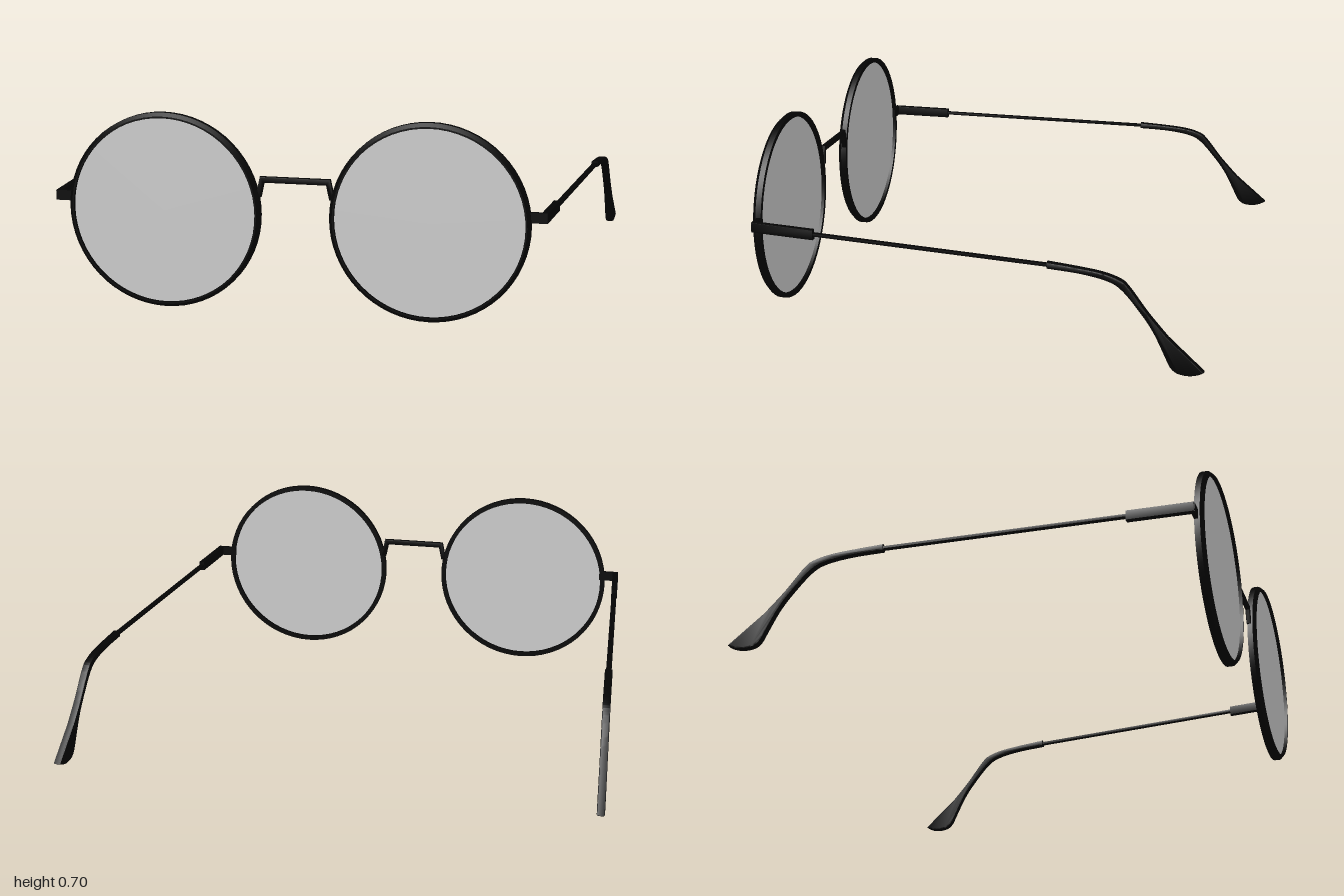
import * as THREE from 'three';
import { toCreasedNormals } from 'three/addons/utils/BufferGeometryUtils.js';

const frameMat = new THREE.MeshStandardMaterial({ color: 0x040404 });
const lensMat = new THREE.MeshStandardMaterial({ color: 0xc2c2c2 });

function add(parent, name, geometry, material = frameMat) {
  const mesh = new THREE.Mesh(geometry, material);
  mesh.name = name;
  parent.add(mesh);
  return mesh;
}

const v = (x, y) => new THREE.Vector2(x, y);
const outline = (points) => new THREE.Shape(points.map(([x, y]) => v(x, y)));

// Sideways position of a temple at depth z (it splays outward to the back)
const splay = (z) => 0.862 + (0.8 - z) * 0.077;

// Side profile in (-z, y), extruded across x and sheared along the splay
function templePart(shape, width, bevel, side) {
  const depth = width - 2 * bevel;
  const geo = new THREE.ExtrudeGeometry(shape, {
    depth, curveSegments: 10, bevelEnabled: true,
    bevelThickness: bevel, bevelSize: bevel, bevelOffset: -bevel, bevelSegments: 2,
  });
  geo.translate(0, 0, -depth / 2).rotateY(Math.PI / 2);
  const p = geo.attributes.position;
  for (let i = 0; i < p.count; i++) p.setX(i, p.getX(i) + side * splay(p.getZ(i)));
  return toCreasedNormals(geo, 0.7);
}

function makeEye(side) {
  const eye = new THREE.Group();
  eye.name = side > 0 ? 'leftEye' : 'rightEye';
  eye.position.set(side * 0.47, 0.348, 0.802);

  // Rim with a chamfered front edge
  const profile = [[0.33, -0.012], [0.348, -0.012], [0.348, 0.008], [0.336, 0.021], [0.33, 0.021], [0.33, -0.012]]
    .map(([r, y]) => v(r, y));
  add(eye, 'rim', toCreasedNormals(new THREE.LatheGeometry(profile, 64).rotateX(Math.PI / 2), 0.5));

  // Flat lens
  const lens = new THREE.CylinderGeometry(0.333, 0.333, 0.008, 64).rotateX(Math.PI / 2);
  add(eye, 'lens', lens, lensMat).position.z = 0.004;
  return eye;
}

function makeTemple(side) {
  const temple = new THREE.Group();
  temple.name = side > 0 ? 'leftTemple' : 'rightTemple';

  // End piece joining rim and hinge
  add(temple, 'endPiece', new THREE.BoxGeometry(0.075, 0.036, 0.015)).position.set(side * 0.833, 0.384, 0.797);

  // Hinge block
  const hinge = outline([[-0.803, 0.366], [-0.57, 0.36], [-0.57, 0.396], [-0.803, 0.402]]);
  add(temple, 'hingeBlock', templePart(hinge, 0.023, 0.002, side));

  // Thin flat arm
  const arm = outline([[-0.6, 0.374], [0.32, 0.35], [0.32, 0.36], [-0.6, 0.385]]);
  add(temple, 'flatArm', templePart(arm, 0.02, 0.002, side));

  // Ear tip: slim sleeve that bends down and flares into a paddle
  const tip = new THREE.Shape();
  tip.moveTo(0.28, 0.345);
  tip.splineThru([v(0.4, 0.338), v(0.49, 0.322), v(0.54, 0.295), v(0.6, 0.228), v(0.65, 0.158), v(0.7, 0.058)]);
  tip.quadraticCurveTo(0.715, 0.022, 0.75, 0.019);
  tip.quadraticCurveTo(0.79, 0.013, 0.825, 0.036);
  tip.lineTo(0.7, 0.145);
  tip.splineThru([v(0.63, 0.223), v(0.566, 0.305), v(0.53, 0.333), v(0.45, 0.353), v(0.28, 0.368)]);
  tip.closePath();
  add(temple, 'earTip', templePart(tip, 0.028, 0.005, side));
  return temple;
}

// Bridge: raised bar with short legs down to the rims
function makeBridge() {
  const shape = outline([
    [-0.14, 0.41], [-0.121, 0.41], [-0.11, 0.462], [0.11, 0.462], [0.121, 0.41],
    [0.14, 0.41], [0.125, 0.483], [-0.125, 0.483],
  ]);
  const geo = new THREE.ExtrudeGeometry(shape, {
    depth: 0.011, bevelEnabled: true, bevelThickness: 0.003, bevelSize: 0.003, bevelOffset: -0.003, bevelSegments: 2,
  });
  return toCreasedNormals(geo.translate(0, 0, 0.791), 0.7);
}

export function createModel() {
  const glasses = new THREE.Group();
  glasses.name = 'glasses';
  for (const side of [1, -1]) glasses.add(makeEye(side), makeTemple(side));
  add(glasses, 'bridge', makeBridge());
  return glasses;
}
